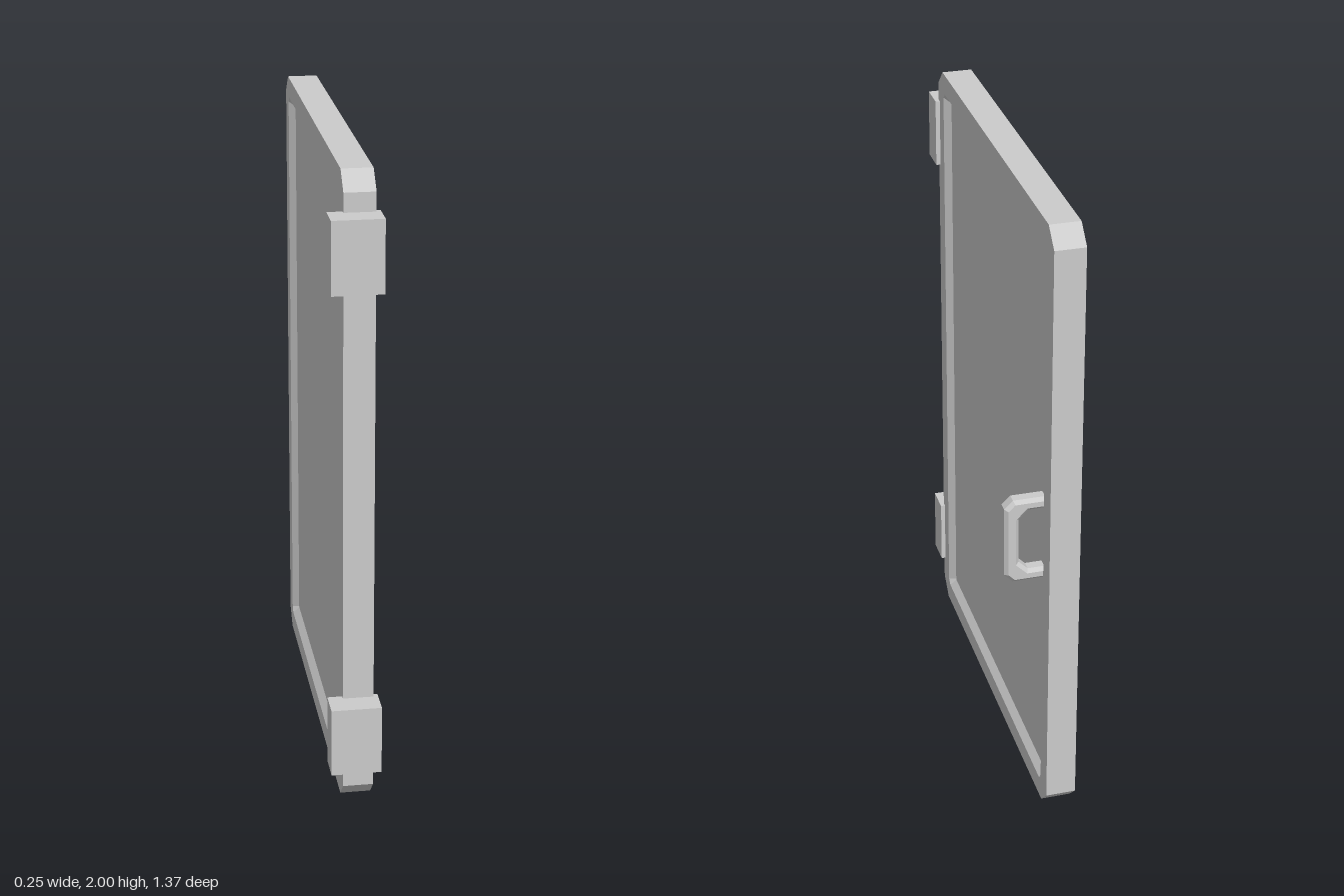
import * as THREE from 'three';

const material = new THREE.MeshStandardMaterial({ color: 0xcccccc, flatShading: true, side: THREE.DoubleSide });

function add(group, name, geometry, x = 0, y = 0, z = 0) {
  const mesh = new THREE.Mesh(geometry, material);
  mesh.name = name;
  mesh.position.set(x, y, z);
  group.add(mesh);
}

// Rectangle with cut corners in the plane at x, anticlockwise seen from +x
function cutRect(x, inset, cut) {
  const w = 0.6475 - inset, h = 1 - inset;
  return [
    [-w + cut, -h], [w - cut, -h], [w, -h + cut], [w, h - cut],
    [w - cut, h], [-w + cut, h], [-w, h - cut], [-w, -h + cut],
  ].map(([u, y]) => [x, y, -u]);
}

// Skin consecutive loops and close both ends
function loft(loops) {
  const positions = [];
  const tri = (...points) => points.forEach(p => positions.push(...p));
  for (let k = 0; k < loops.length - 1; k++) {
    const a = loops[k], b = loops[k + 1];
    for (let i = 0; i < a.length; i++) {
      const j = (i + 1) % a.length;
      tri(a[i], a[j], b[j]);
      tri(a[i], b[j], b[i]);
    }
  }
  const first = loops[0], last = loops[loops.length - 1];
  for (let i = 1; i < first.length - 1; i++) {
    tri(first[0], first[i + 1], first[i]);
    tri(last[0], last[i], last[i + 1]);
  }
  const geometry = new THREE.BufferGeometry();
  geometry.setAttribute('position', new THREE.Float32BufferAttribute(positions, 3));
  geometry.computeVertexNormals();
  return geometry;
}

export function createModel() {
  const group = new THREE.Group();
  group.name = 'door';

  // Door leaf with a bevelled recess on both faces
  const back = -0.08, front = 0.014, depth = 0.02;
  add(group, 'doorPanel', loft([
    cutRect(back + depth, 0.09, 0.003),
    cutRect(back, 0.065, 0.017),
    cutRect(back, 0, 0.055),
    cutRect(front, 0, 0.055),
    cutRect(front, 0.065, 0.017),
    cutRect(front - depth, 0.09, 0.003),
  ]), 0, 1, -0.0375);

  // Hinge blocks
  add(group, 'lowerHinge', new THREE.BoxGeometry(0.154, 0.22, 0.09), -0.049, 0.249, 0.64);
  add(group, 'upperHinge', new THREE.BoxGeometry(0.154, 0.22, 0.09), -0.049, 1.777, 0.64);

  // Pull handle: a C-shaped bar with chamfered edges
  const outline = [
    [-0.02, -0.143], [0.093, -0.143], [0.12, -0.116], [0.12, 0.116], [0.093, 0.143], [-0.02, 0.143],
    [-0.02, 0.104], [0.046, 0.104], [0.075, 0.075], [0.075, -0.075], [0.046, -0.104], [-0.02, -0.104],
  ].map(([x, y]) => new THREE.Vector2(x, y));
  const bar = new THREE.ExtrudeGeometry(new THREE.Shape(outline), {
    depth: 0.03, bevelEnabled: true, bevelSegments: 1,
    bevelThickness: 0.011, bevelSize: 0.011, bevelOffset: -0.011,
  });
  add(group, 'handle', bar, 0, 0.942, -0.563);

  return group;
}
